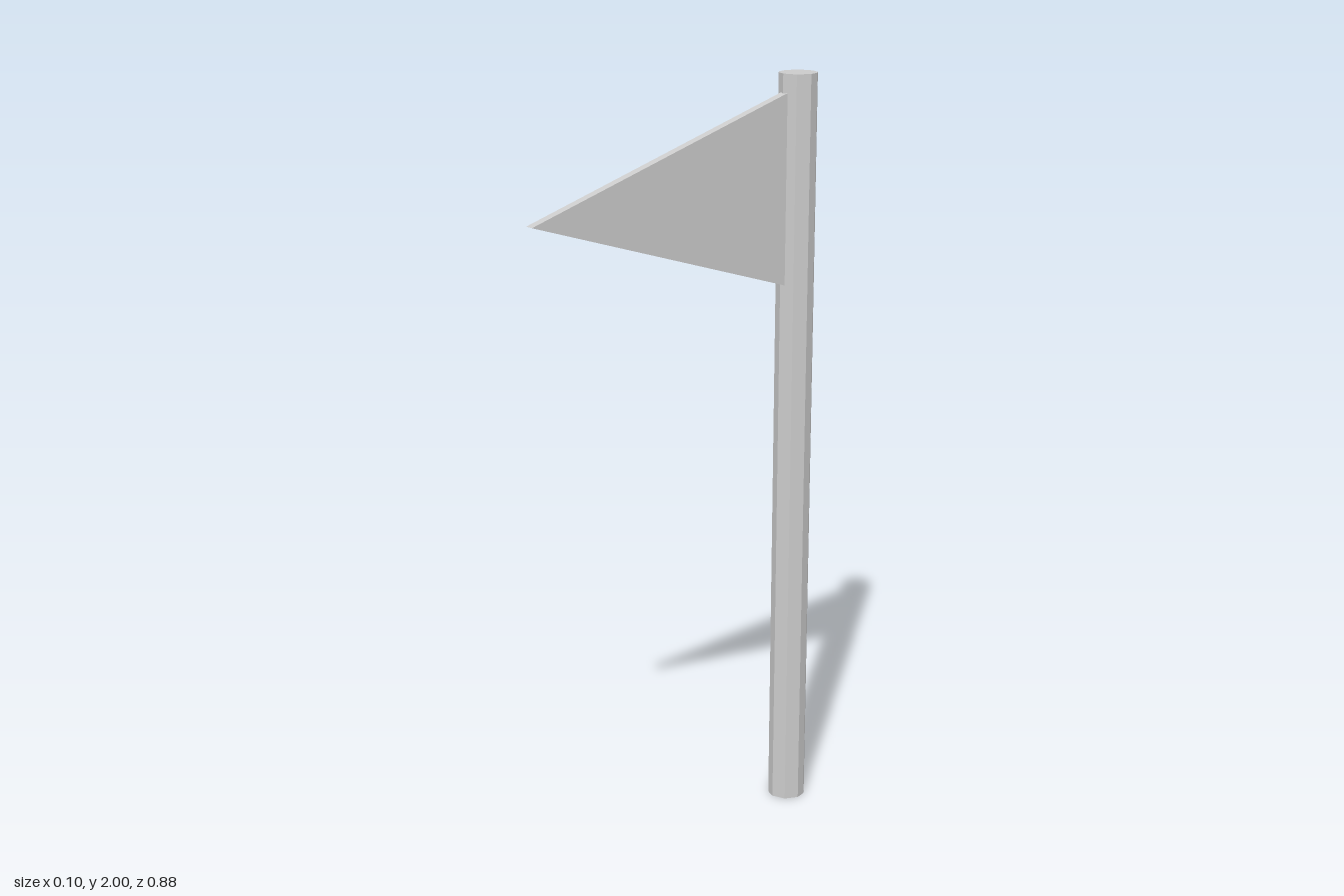
import * as THREE from 'three';

const material = new THREE.MeshStandardMaterial({ color: 0xcccccc, flatShading: true });

// Straight prism over an outline of [x, y] points
function prism(name, points, depth) {
  const shape = new THREE.Shape(points.map(([x, y]) => new THREE.Vector2(x, y)));
  const geometry = new THREE.ExtrudeGeometry(shape, { depth, bevelEnabled: false });
  const mesh = new THREE.Mesh(geometry, material);
  mesh.name = name;
  return mesh;
}

export function createModel() {
  const group = new THREE.Group();
  group.name = 'pennantOnPole';

  // Upright pole with ten uneven sides
  const radius = 0.05;
  const angles = [0, 34, 56, 90, 135, 180, 214, 236, 270, 315].map(THREE.MathUtils.degToRad);
  const pole = prism('pole', angles.map((a) => [radius * Math.cos(a), radius * Math.sin(a)]), 2);
  pole.geometry.rotateX(-Math.PI / 2);
  pole.position.z = -0.39;
  group.add(pole);

  // Triangular pennant, its base set slightly into the pole
  const thickness = 0.024;
  const pennant = prism('pennant', [[-0.345, 1.458], [0.44, 1.705], [-0.345, 1.952]], thickness);
  pennant.geometry.translate(0, 0, -thickness / 2).rotateY(-Math.PI / 2);
  group.add(pennant);

  return group;
}
